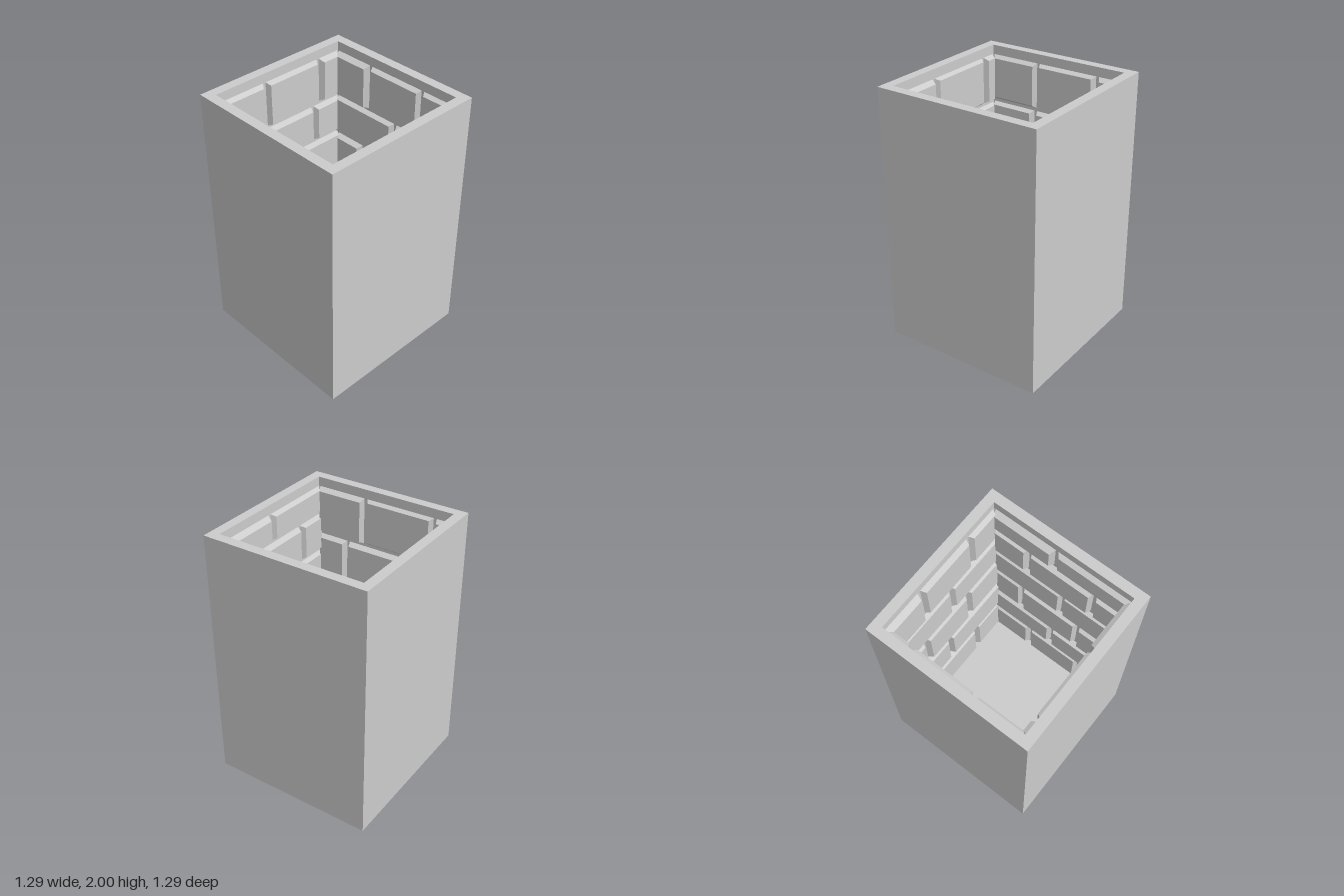
import * as THREE from 'three';

const OUTER = 0.645, INNER = 0.57, FLOOR = 0.075, HEIGHT = 2, GAP = 0.012;

// Small seeded generator for the irregular stones
function seeded(seed) {
  return () => {
    seed = (seed * 16807) % 2147483647;
    return seed / 2147483647;
  };
}

// Block whose inward face is smaller than its base, giving chamfered edges
function chamferedBlock(w, h, d, bevel, rand) {
  const g = new THREE.BoxGeometry(w, h, d);
  g.translate(0, 0, d / 2);
  const p = g.attributes.position;
  const inset = [0, 1, 2, 3].map(() => bevel * (0.75 + 0.5 * rand()));
  for (let i = 0; i < p.count; i++) {
    if (p.getZ(i) < d / 2) continue;
    const x = p.getX(i), y = p.getY(i);
    p.setX(i, x > 0 ? x - inset[0] : x + inset[1]);
    p.setY(i, y > 0 ? y - inset[2] : y + inset[3]);
  }
  g.computeVertexNormals();
  return g;
}

export function createModel() {
  const model = new THREE.Group();
  const stone = new THREE.MeshStandardMaterial({ color: 0xcccccc });
  stone.name = 'light grey stone';
  const rand = seeded(4711);

  const add = (parent, name, geometry) => {
    const mesh = new THREE.Mesh(geometry, stone);
    mesh.name = name;
    parent.add(mesh);
    return mesh;
  };

  // Square shell: four walls as one extruded ring
  const square = (r) => [[-r, -r], [r, -r], [r, r], [-r, r]].map(([x, y]) => new THREE.Vector2(x, y));
  const ring = new THREE.Shape(square(OUTER));
  ring.holes.push(new THREE.Path(square(INNER).reverse()));
  const shell = new THREE.ExtrudeGeometry(ring, { depth: HEIGHT, bevelEnabled: false });
  shell.rotateX(-Math.PI / 2);
  add(model, 'outerWalls', shell);

  // Floor slab closing the shaft
  const floor = new THREE.BoxGeometry(INNER * 2, FLOOR, INNER * 2);
  floor.translate(0, FLOOR / 2, 0);
  add(model, 'floor', floor);

  // Stone lining: course heights and joints for each wall, along its own local x
  const linings = [
    { name: 'backLining', turn: 0, courses: [1.94, 1.56, 1.24, 0.88, 0.5, 0.08],
      joints: [[-0.15, 0.36], [-0.17, 0.3], [-0.3, 0.18], [0.02], [-0.2, 0.3]] },
    { name: 'frontLining', turn: Math.PI, courses: [1.94, 1.71, 1.4, 1.08, 0.72, 0.42, 0.08],
      joints: [[-0.04], [-0.25, 0.3], [0.06], [-0.3, 0.22], [0.0], [-0.2, 0.28]] },
    { name: 'rightLining', turn: Math.PI / 2, courses: [1.94, 1.55, 1.2, 0.86, 0.46, 0.08],
      joints: [[-0.15, 0.43], [-0.3, 0.16], [0.02], [-0.22, 0.3], [0.1]] },
    { name: 'leftLining', turn: -Math.PI / 2, courses: [1.94, 1.56, 1.22, 0.84, 0.48, 0.08],
      joints: [[-0.22, 0.28], [0.04], [-0.28, 0.2], [-0.05], [-0.25, 0.25]] },
  ];

  for (const { name, turn, courses, joints } of linings) {
    const wall = new THREE.Group();
    wall.name = name;
    wall.rotation.y = turn;
    joints.forEach((cuts, row) => {
      const top = courses[row] - GAP, bottom = courses[row + 1] + GAP;
      const ends = [-INNER, ...cuts, INNER];
      for (let i = 0; i < ends.length - 1; i++) {
        const w = ends[i + 1] - ends[i] - 2 * GAP;
        const depth = 0.034 + 0.014 * rand();
        const block = add(wall, 'liningStone', chamferedBlock(w, top - bottom, depth, 0.02, rand));
        block.position.set((ends[i] + ends[i + 1]) / 2, (top + bottom) / 2, -INNER);
      }
    });
    model.add(wall);
  }
  return model;
}
